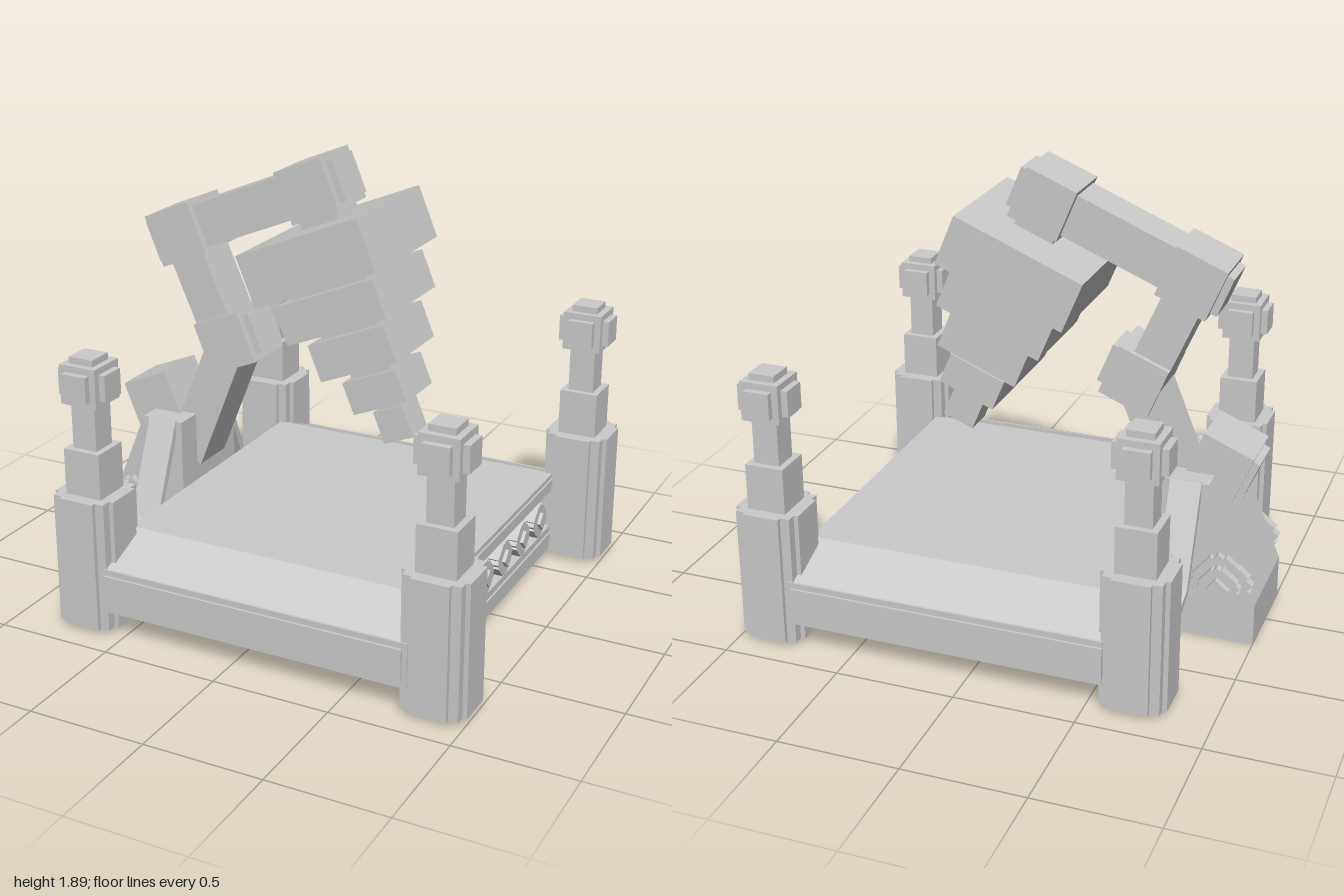
import * as THREE from 'three';

const mat = new THREE.MeshStandardMaterial({ color: 0xcccccc, flatShading: true });
const TILT = Math.PI / 8;

function add(parent, name, geo, x = 0, y = 0, z = 0, rz = 0) {
  const m = new THREE.Mesh(geo, mat);
  m.name = name;
  m.position.set(x, y, z);
  m.rotation.z = rz;
  parent.add(m);
  return m;
}
const box = (parent, name, w, h, d, x, y, z, rz = 0) =>
  add(parent, name, new THREE.BoxGeometry(w, h, d), x, y, z, rz);

// Shape from [x, y] points
const poly = (pts) => new THREE.Shape(pts.map(([x, y]) => new THREE.Vector2(x, y)));
const extrude = (shape, depth) => new THREE.ExtrudeGeometry(shape, { depth, bevelEnabled: false });

// Square outline of half size h with two-step notched corners
function stepped(h) {
  const a = h * 0.57, b = h * 0.86;
  const corner = [[h, a], [b, a], [b, b], [a, b], [a, h]];
  const pts = [];
  for (let i = 0; i < 4; i++) {
    const c = Math.round(Math.cos(i * Math.PI / 2)), s = Math.round(Math.sin(i * Math.PI / 2));
    corner.forEach(([x, y]) => pts.push([x * c - y * s, x * s + y * c]));
  }
  return poly(pts);
}

// Bar between two points of the front plane
function bar(parent, name, [x0, y0], [x1, y1], thick, depth) {
  const len = Math.hypot(x1 - x0, y1 - y0);
  return box(parent, name, len, thick, depth, (x0 + x1) / 2, (y0 + y1) / 2, 0, Math.atan2(y1 - y0, x1 - x0));
}

// Corner post: notched column, two narrower blocks and a cube finial with face plates
function post(x, z) {
  const g = new THREE.Group();
  g.name = 'cornerPost';
  g.position.set(x, 0, z);
  add(g, 'postColumn', extrude(stepped(0.138), 0.56), 0, 0.02, 0).rotation.x = -Math.PI / 2;
  g.children[0].position.y = 0.02;
  box(g, 'postMiddle', 0.165, 0.2, 0.165, 0, 0.675, 0);
  box(g, 'postNeck', 0.11, 0.22, 0.11, 0, 0.87, 0);
  box(g, 'finialCube', 0.165, 0.165, 0.165, 0, 1.05, 0);
  box(g, 'finialPlateX', 0.22, 0.11, 0.11, 0, 1.05, 0);
  box(g, 'finialPlateY', 0.11, 0.22, 0.11, 0, 1.05, 0);
  box(g, 'finialPlateZ', 0.11, 0.11, 0.22, 0, 1.05, 0);
  return g;
}

// Tilted arm joint with a raised plate on one side
function joint(parent, x, y, side, rz = TILT) {
  const g = new THREE.Group();
  g.name = 'armJoint';
  g.position.set(x, y, 0);
  g.rotation.z = rz;
  box(g, 'jointBlock', 0.225, 0.225, 0.25, 0, 0, 0);
  box(g, 'jointPlate', 0.03, 0.175, 0.18, side * 0.127, 0, 0);
  parent.add(g);
}

function platform() {
  const g = new THREE.Group();
  g.name = 'platform';
  // Hollow deck, open at both ends
  const outline = poly([[-0.65, 0.03], [0.65, 0.03], [0.875, 0.11], [0.875, 0.3],
    [0.65, 0.39], [-0.65, 0.39], [-0.875, 0.3], [-0.875, 0.11]]);
  outline.holes.push(poly([[-0.84, 0.14], [-0.84, 0.29], [-0.65, 0.31], [0.65, 0.31], [0.84, 0.29], [0.84, 0.14]]));
  add(g, 'deck', extrude(outline, 1.31), -0.57, 0, 0).rotation.y = Math.PI / 2;
  for (const s of [1, -1]) {
    // Side boards with a raised panel
    box(g, 'sideBoard', 1.34, 0.19, 0.02, 0.1, 0.205, s * 0.875);
    box(g, 'sidePanel', 1.32, 0.14, 0.012, 0.09, 0.205, s * 0.889);
  }
  // End rails with a row of notched diamond ornaments
  for (const [x, s] of [[0.75, 1], [-0.57, -1]]) {
    box(g, 'upperEndRail', 0.04, 0.08, 1.3, x, 0.35, 0);
    box(g, 'upperRailBead', 0.055, 0.03, 1.3, x, 0.355, 0);
    box(g, 'lowerEndRail', 0.04, 0.11, 1.3, x, 0.085, 0);
    box(g, 'lowerRailBead', 0.055, 0.03, 1.3, x, 0.095, 0);
    for (let i = 0; i < 6; i++) {
      const o = new THREE.Group();
      o.name = 'diamondOrnament';
      o.position.set(x - 0.005 * s, 0.217, (i - 2.5) * 0.205);
      o.rotation.y = Math.PI / 2;
      add(o, 'ornamentBody', extrude(stepped(0.068), 0.05), 0, 0, -0.025, Math.PI / 4);
      box(o, 'ornamentBoss', 0.056, 0.056, 0.08, 0, 0, 0, Math.PI / 4);
      g.add(o);
    }
  }
  return g;
}

function armBase() {
  const g = new THREE.Group();
  g.name = 'armBase';
  const side = poly([[-1, 0], [-0.6, 0], [-0.6, 0.69], [-0.79, 0.69], [-1, 0.18]]);
  add(g, 'baseBlock', extrude(side, 0.44), 0, 0, -0.22);
  for (const s of [1, -1]) {
    // Notched gear discs on the sides
    add(g, 'gearDisc', extrude(stepped(0.11), 0.04), -0.86, 0.27, s * 0.23 - 0.02, 0.68);
    add(g, 'gearHub', extrude(stepped(0.075), 0.04), -0.86, 0.27, s * 0.265 - 0.02, 0.68);
    box(g, 'gearPin', 0.07, 0.07, 0.04, -0.86, 0.27, s * 0.29, 0.68);
    // Bent straps that tie the base to the posts
    const strap = new THREE.Group();
    strap.name = 'strap';
    strap.position.x = -0.695;
    strap.rotation.y = -s * Math.PI / 2;
    bar(strap, 'strapUpper', [0.205, 0.69], [0.375, 0.285], 0.03, 0.13);
    bar(strap, 'strapLower', [0.37, 0.285], [0.68, 0.16], 0.03, 0.13);
    g.add(strap);
  }
  return g;
}

function arm() {
  const g = new THREE.Group();
  g.name = 'arm';
  const shoulder = [-0.66, 0.49], elbow = [-0.437, 1.045], wrist = [-0.662, 1.489], head = [-0.046, 1.745];
  bar(g, 'lowerArm', shoulder, elbow, 0.17, 0.2);
  bar(g, 'middleArm', [-0.47, 1.05], wrist, 0.165, 0.2);
  bar(g, 'upperBeam', wrist, head, 0.185, 0.19);
  joint(g, -0.8, 0.72, -1);
  joint(g, ...elbow, 1);
  joint(g, ...wrist, -1);
  joint(g, ...head, 1);
  return g;
}

// Tapering stack of tilted blocks hanging from the arm
function hangingHead() {
  const g = new THREE.Group();
  g.name = 'hangingHead';
  // x, y, width, height, depth
  const tiers = [
    [0.035, 1.5, 0.58, 0.225, 0.585], [0.116, 1.295, 0.475, 0.165, 0.475], [0.19, 1.118, 0.365, 0.16, 0.365],
    [0.264, 0.946, 0.255, 0.14, 0.25], [0.325, 0.797, 0.14, 0.14, 0.14],
  ];
  box(g, 'headConnector', 0.175, 0.12, 0.18, -0.005, 1.625, 0, TILT);
  tiers.forEach(([x, y, w, h, d], i) => {
    box(g, 'headTier', w, h, d, x, y, 0, TILT);
    if (i === 0) return;
    const [px, py] = tiers[i - 1];
    box(g, 'tierSpacer', w * 0.75, 0.15, d * 0.75, (x + px) / 2, (y + py) / 2, 0, TILT);
  });
  return g;
}

export function createModel() {
  const model = new THREE.Group();
  model.name = 'platformWithArm';
  for (const x of [-0.68, 0.86]) for (const z of [-0.76, 0.76]) model.add(post(x, z));
  model.add(platform(), armBase(), arm(), hangingHead());
  return model;
}
